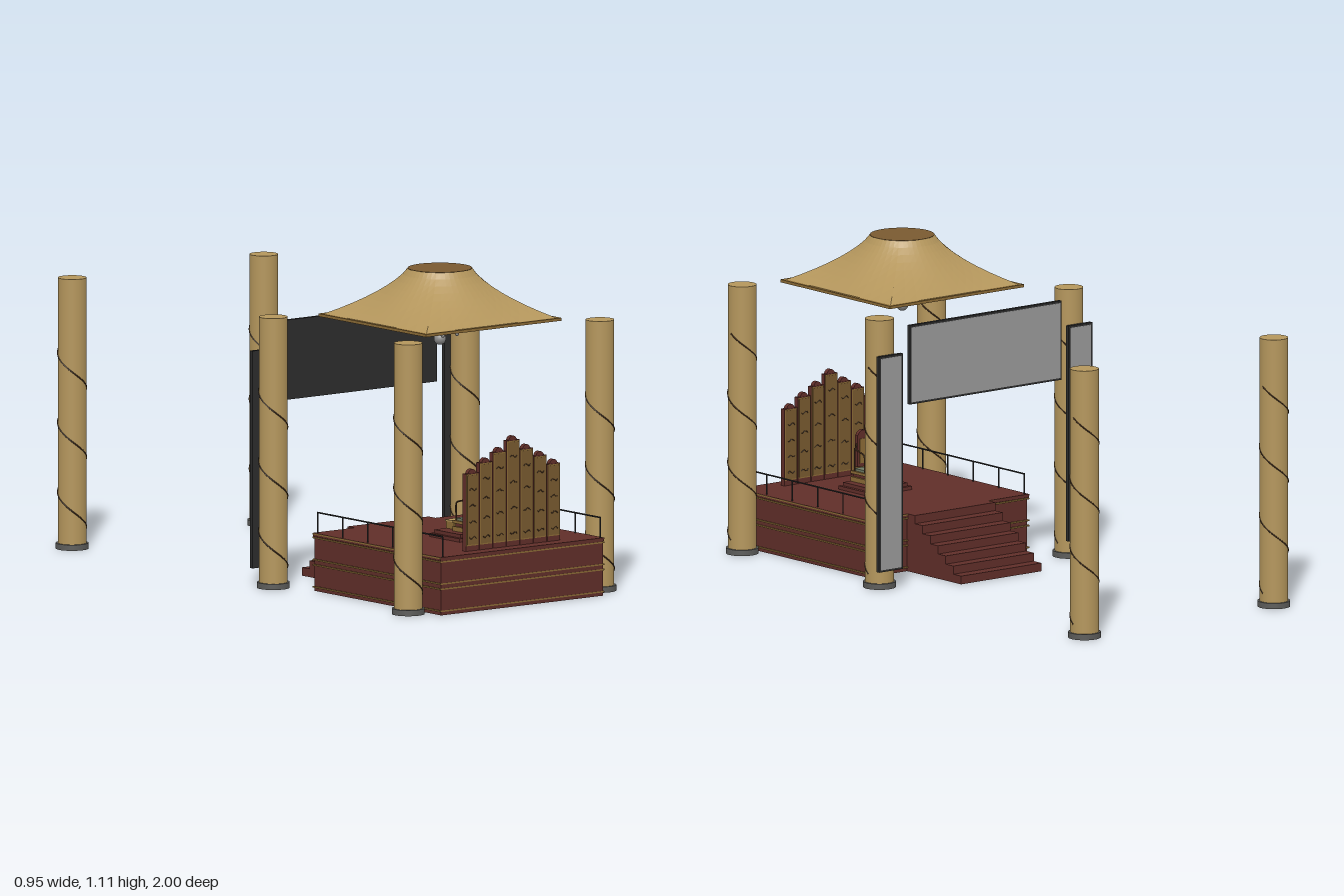
import * as THREE from 'three';

const mat = (color, extra = {}) => new THREE.MeshStandardMaterial({ color, ...extra });
const M = {
  gold: mat(0xb4965c), cap: mat(0x7a5a30), trim: mat(0x8a6a35), red: mat(0x602e29),
  panel: mat(0x77592f), vine: mat(0x4a3320), stone: mat(0x5c5c5a), black: mat(0x2c2c2c),
  grey: mat(0x999999), lamp: mat(0x8c8c8c), cushion: mat(0x6f7a62),
  shell: mat(0xb4965c, { side: THREE.DoubleSide, flatShading: true }),
};

function add(parent, name, geometry, material, x = 0, y = 0, z = 0) {
  const mesh = new THREE.Mesh(geometry, material);
  mesh.name = name;
  mesh.position.set(x, y, z);
  parent.add(mesh);
  return mesh;
}
const box = (parent, name, w, h, d, material, x, y, z) =>
  add(parent, name, new THREE.BoxGeometry(w, h, d), material, x, y, z);
const rod = (r, h, n = 8) => new THREE.CylinderGeometry(r, r, h, n);
function group(parent, name, x = 0, y = 0, z = 0) {
  const g = new THREE.Group();
  g.name = name;
  g.position.set(x, y, z);
  parent.add(g);
  return g;
}

// Round column on a stone foot, wound with a thin vine
function column(parent, x, z) {
  const g = group(parent, 'column', x, 0, z);
  add(g, 'columnFoot', rod(0.056, 0.02, 32), M.stone, 0, 0.01, 0);
  add(g, 'columnShaft', rod(0.049, 0.915, 32), M.gold, 0, 0.4775, 0);
  const pts = [];
  for (let i = 0; i <= 72; i++) {
    const a = (i / 24) * Math.PI * 2;
    pts.push(new THREE.Vector3(0.049 * Math.cos(a), 0.05 + i * 0.01, 0.049 * Math.sin(a)));
  }
  add(g, 'columnVine', new THREE.TubeGeometry(new THREE.CatmullRomCurve3(pts), 120, 0.0025, 5), M.vine);
}

// Flared roof surface that blends from a square eave to a round top
function roofGeometry() {
  const rows = 8, n = 48, pos = [], idx = [];
  for (let r = 0; r <= rows; r++) {
    const t = r / rows;
    const w = 0.11 + 0.175 * Math.pow(1 - t, 1.2);
    const square = Math.pow(1 - t, 1.4);
    for (let i = 0; i < n; i++) {
      const a = (i / n) * Math.PI * 2, c = Math.cos(a), s = Math.sin(a);
      const k = w * (1 - square + square / Math.max(Math.abs(c), Math.abs(s)));
      pos.push(c * k, 0.943 + 0.167 * t, s * k);
      if (r < rows) {
        const p = r * n + i, q = r * n + (i + 1) % n;
        idx.push(p, p + n, q, q, p + n, q + n);
      }
    }
  }
  const geo = new THREE.BufferGeometry();
  geo.setAttribute('position', new THREE.Float32BufferAttribute(pos, 3));
  geo.setIndex(idx);
  geo.computeVertexNormals();
  return geo;
}

function roof(parent) {
  const g = group(parent, 'roof', 0, 0, 0.548);
  add(g, 'roofShell', roofGeometry(), M.shell);
  add(g, 'roofCap', rod(0.11, 0.004, 48), M.cap, 0, 1.109, 0);
  for (const s of [-1, 1]) {
    box(g, 'eaveBoard', 0.59, 0.01, 0.014, M.trim, 0, 0.94, s * 0.288);
    box(g, 'eaveBoard', 0.014, 0.01, 0.562, M.trim, s * 0.288, 0.94, 0);
  }
  // Hanging globe with a ring of small lights
  add(g, 'globeLamp', new THREE.SphereGeometry(0.021, 20, 14), M.lamp, 0, 0.866, 0);
  for (let i = 0; i < 6; i++) {
    const a = (i / 6) * Math.PI * 2;
    add(g, 'smallLamp', new THREE.SphereGeometry(0.0065, 10, 8), M.lamp,
      0.063 * Math.cos(a), 0.885, 0.063 * Math.sin(a));
  }
}

// Flat display with its bright face toward the back
function display(parent, name, x, y, w, h) {
  const g = group(parent, name, x, y, 0.105);
  box(g, 'displayCase', w, h, 0.014, M.black, 0, 0, 0);
  box(g, 'displayFace', w - 0.014, h - 0.014, 0.002, M.grey, 0, 0, -0.0075);
}

function platform(parent) {
  const g = group(parent, 'platform');
  box(g, 'platformBody', 0.704, 0.198, 0.694, M.red, 0, 0.099, 0.652);
  box(g, 'platformTop', 0.712, 0.012, 0.7, M.red, 0, 0.194, 0.65);
  for (const y of [0.014, 0.09, 0.108, 0.184, 0.197])
    box(g, 'platformTrim', 0.714, 0.005, 0.7, M.trim, 0, y, 0.65);
  // Stairs
  const steps = 7, run = 0.0415;
  for (let i = 0; i < steps; i++) {
    const z0 = 0.014 + i * run, h = (0.2 * (i + 1)) / steps;
    box(g, 'stairStep', 0.354, h, 0.32 - z0, M.red, 0, h / 2, (z0 + 0.32) / 2);
  }
  // Side railings
  for (const s of [-1, 1]) {
    const r = group(g, s > 0 ? 'leftRailing' : 'rightRailing', s * 0.343, 0.2, 0);
    add(r, 'handrail', rod(0.0028, 0.686), M.black, 0, 0.07, 0.652).rotation.x = Math.PI / 2;
    for (let i = 0; i < 6; i++)
      add(r, 'railPost', rod(0.0025, 0.07), M.black, 0, 0.035, 0.31 + i * 0.137);
  }
}

// Seven carved folding panels, tallest in the middle
function foldingScreen(parent) {
  const g = group(parent, 'foldingScreen', 0, 0.2, 0.94);
  const heights = [0.365, 0.33, 0.3, 0.267];
  for (let i = -3; i <= 3; i++) {
    const h = heights[Math.abs(i)], p = group(g, 'screenPanel', i * 0.059);
    box(p, 'panelFrame', 0.056, h, 0.018, M.red, 0, h / 2, 0);
    add(p, 'panelFinial', rod(0.017, 0.016, 20), M.red, 0, h - 0.002, 0).rotation.x = Math.PI / 2;
    for (const f of [-1, 1]) {
      box(p, 'panelBorder', 0.053, h - 0.02, 0.002, M.trim, 0, h / 2 + 0.008, f * 0.0095);
      box(p, 'panelInset', 0.047, h - 0.028, 0.002, M.panel, 0, h / 2 + 0.008, f * 0.0105);
      const rows = 4;
      for (let k = 0; k < rows; k++) {
        const y = 0.045 + (k * (h - 0.1)) / (rows - 1);
        const pts = [-2, -1, 0, 1, 2].map((n) =>
          new THREE.Vector3(n * 0.0075, y + 0.004 * Math.sin(n * 1.9 + k), f * 0.012));
        add(p, 'panelCarving', new THREE.TubeGeometry(new THREE.CatmullRomCurve3(pts), 12, 0.0016, 5), M.vine);
      }
    }
  }
}

// Chair on a two-tier dais, facing the stairs
function throne(parent) {
  const g = group(parent, 'throne', 0, 0.2, 0);
  box(g, 'daisLower', 0.19, 0.012, 0.165, M.red, 0, 0.006, 0.693);
  box(g, 'daisUpper', 0.165, 0.012, 0.145, M.red, 0, 0.018, 0.693);
  box(g, 'seatBase', 0.1, 0.016, 0.085, M.trim, 0, 0.032, 0.723);
  box(g, 'seatWaist', 0.085, 0.016, 0.07, M.red, 0, 0.046, 0.723);
  box(g, 'seatTop', 0.1, 0.01, 0.085, M.trim, 0, 0.056, 0.723);
  box(g, 'seatCushion', 0.085, 0.008, 0.065, M.cushion, 0, 0.065, 0.721);
  box(g, 'footstool', 0.06, 0.026, 0.044, M.trim, 0, 0.037, 0.64);
  box(g, 'footstoolTop', 0.064, 0.005, 0.048, M.gold, 0, 0.0515, 0.64);
  box(g, 'chairBack', 0.05, 0.11, 0.014, M.red, 0, 0.125, 0.764);
  box(g, 'chairBackInset', 0.036, 0.085, 0.003, M.trim, 0, 0.125, 0.756);
  add(g, 'chairCrest', rod(0.025, 0.014, 20), M.red, 0, 0.172, 0.764).rotation.x = Math.PI / 2;
  for (const s of [-1, 1]) {
    const arm = new THREE.CatmullRomCurve3([[0.022, 0.15, 0.764], [0.044, 0.138, 0.745],
      [0.047, 0.13, 0.715], [0.046, 0.122, 0.697], [0.045, 0.06, 0.695]]
      .map(([x, y, z]) => new THREE.Vector3(s * x, y, z)));
    add(g, s > 0 ? 'leftArm' : 'rightArm', new THREE.TubeGeometry(arm, 24, 0.003, 6), M.vine);
    add(g, 'backPost', rod(0.003, 0.08), M.vine, s * 0.044, 0.1, 0.75);
  }
}

export function createModel() {
  const model = new THREE.Group();
  model.name = 'stagePavilion';
  for (const z of [-0.944, 0.16, 0.9]) for (const s of [-1, 1]) column(model, s * 0.417, z);
  roof(model);
  display(model, 'centreDisplay', 0, 0.77, 0.668, 0.275);
  for (const s of [-1, 1])
    display(model, s > 0 ? 'leftDisplay' : 'rightDisplay', s * 0.417, 0.44, 0.104, 0.75);
  platform(model);
  foldingScreen(model);
  throne(model);
  return model;
}
